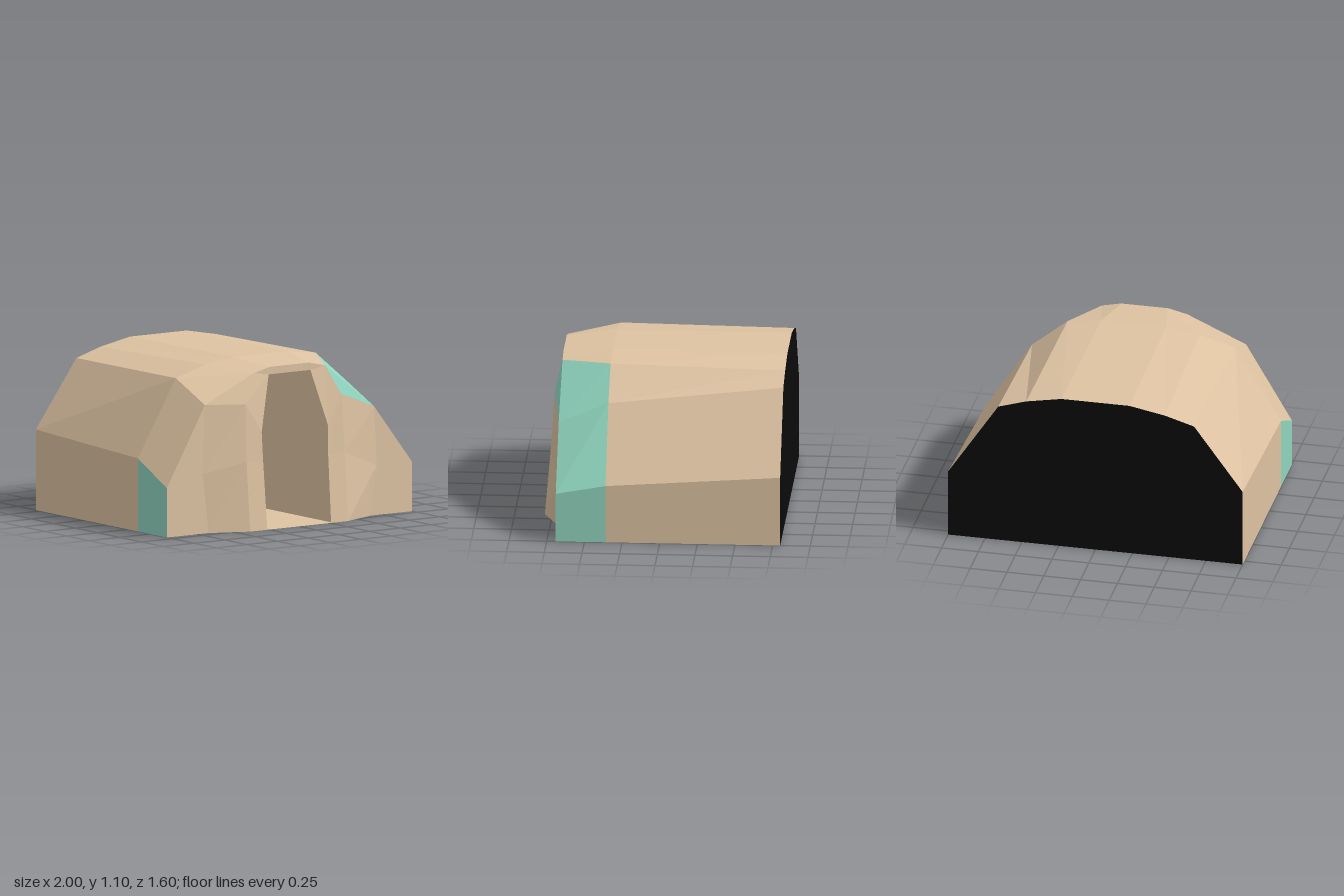
import * as THREE from 'three';

const tan = new THREE.MeshStandardMaterial({ color: 0xdec3a2, side: THREE.DoubleSide });
tan.name = 'tan';
const teal = new THREE.MeshStandardMaterial({ color: 0x90d5bf, side: THREE.DoubleSide });
teal.name = 'teal';
const black = new THREE.MeshStandardMaterial({ color: 0x0b0b0b, side: THREE.DoubleSide });
black.name = 'black';

// Flat-shaded mesh from convex polygons (corners anticlockwise from outside)
function panels(name, material, polygons) {
  const pos = [];
  for (const p of polygons) {
    for (let i = 1; i < p.length - 1; i++) pos.push(...p[0], ...p[i], ...p[i + 1]);
  }
  const geo = new THREE.BufferGeometry();
  geo.setAttribute('position', new THREE.Float32BufferAttribute(pos, 3));
  geo.computeVertexNormals();
  const mesh = new THREE.Mesh(geo, material);
  mesh.name = name;
  return mesh;
}

const BACK = -0.8, MID = 0.36, FRONT = 0.69;
const arch = (z, pts) => pts.map(([x, y]) => [x, y, z]);

// Arched sections, from the -x foot over the top to the +x foot
const backArch = arch(BACK, [[-1, 0], [-1, 0.54], [-0.67, 0.99], [-0.47, 1.05], [-0.23, 1.095],
  [0.23, 1.095], [0.47, 1.05], [0.66, 0.99], [1, 0.47], [1, 0]]);
const midArch = arch(MID, [[-1, 0], [-1, 0.49], [-0.69, 1], [-0.45, 1.07], [-0.22, 1.1],
  [0.22, 1.1], [0.45, 1.07], [0.69, 0.87], [1, 0.39], [1, 0]]);
const frontArch = arch(FRONT, [[-1, 0], [-1, 0.33], [-0.69, 0.86], [-0.29, 1.04], [-0.16, 1.07],
  [0.16, 1.07], [0.29, 1.04], [0.69, 0.73], [1, 0.33], [1, 0]]);

const loft = (a, b) => a.slice(1).map((_, i) => [a[i], b[i], b[i + 1], a[i + 1]]);

export function createModel() {
  const group = new THREE.Group();
  group.name = 'archedShelter';

  // Roof and side walls, with teal panels along the front band
  const band = loft(midArch, frontArch);
  const isTeal = (i) => i === 0 || i >= 6;
  group.add(panels('shell', tan, loft(backArch, midArch)));
  group.add(panels('frontBand', tan, band.filter((_, i) => !isTeal(i))));
  group.add(panels('tealBand', teal, band.filter((_, i) => isTeal(i))));

  // Front wall halves and inner passage walls
  for (const s of [1, -1]) {
    const side = s > 0 ? 'left' : 'right';
    const orient = (p) => (s > 0 ? p : [...p].reverse());
    const P = (x, y, z) => [s * x, y, z];
    const door = [P(0.26, 0, 0.8), P(0.265, 0.45, 0.76), P(0.27, 0.65, 0.75), P(0.17, 1.02, FRONT), P(0.16, 1.07, FRONT)];
    const pier = [P(0.4, 0, 0.8), P(0.4, 0.46, 0.76), P(0.39, 0.845, 0.735), P(0.29, 1.04, FRONT)];
    const outer = [P(0.66, 0, FRONT), P(0.71, s > 0 ? 0.33 : 0.4, FRONT), P(0.69, s > 0 ? 0.73 : 0.86, FRONT)];
    const edge = [P(1, 0, FRONT), P(1, 0.33, FRONT)];
    const wall = [
      [outer[0], edge[0], edge[1], outer[1]],
      [outer[1], edge[1], outer[2]],
      [door[3], pier[3], door[4]],
    ];
    for (let i = 0; i < 2; i++) wall.push([pier[i], outer[i], outer[i + 1], pier[i + 1]]);
    for (let i = 0; i < 3; i++) wall.push([door[i], pier[i], pier[i + 1], door[i + 1]]);
    group.add(panels(side + 'FrontWall', tan, wall.map(orient)));
    group.add(panels(side + 'FrontShoulder', s > 0 ? teal : tan, [orient([pier[2], outer[2], pier[3]])]));

    const passage = [P(0.265, 0, BACK), door[0], door[1], door[2], P(0.27, 1.02, FRONT), P(0.27, 1.02, BACK)];
    group.add(panels(side + 'PassageWall', tan, [orient(passage)]));
  }

  // Strip above the doorway, passage ceiling and floor
  group.add(panels('lintel', tan, [
    [[-0.17, 1.02, FRONT], [0.17, 1.02, FRONT], [0.16, 1.07, FRONT], [-0.16, 1.07, FRONT]],
  ]));
  group.add(panels('passageCeiling', tan, [
    [[-0.27, 1.02, BACK], [0.27, 1.02, BACK], [0.27, 1.02, FRONT], [-0.27, 1.02, FRONT]],
  ]));
  group.add(panels('passageFloor', tan, [
    [[-0.265, 0.004, BACK], [-0.26, 0.004, 0.8], [0.26, 0.004, 0.8], [0.265, 0.004, BACK]],
  ]));

  // Underside
  group.add(panels('base', tan, [
    [[-1, 0, BACK], [1, 0, BACK], [1, 0, FRONT], [-1, 0, FRONT]],
    [[-0.66, 0, FRONT], [0.66, 0, FRONT], [0.4, 0, 0.8], [-0.4, 0, 0.8]],
  ]));

  // Black rear panel, also closing the passage
  group.add(panels('rearPanel', black, [backArch]));
  return group;
}
